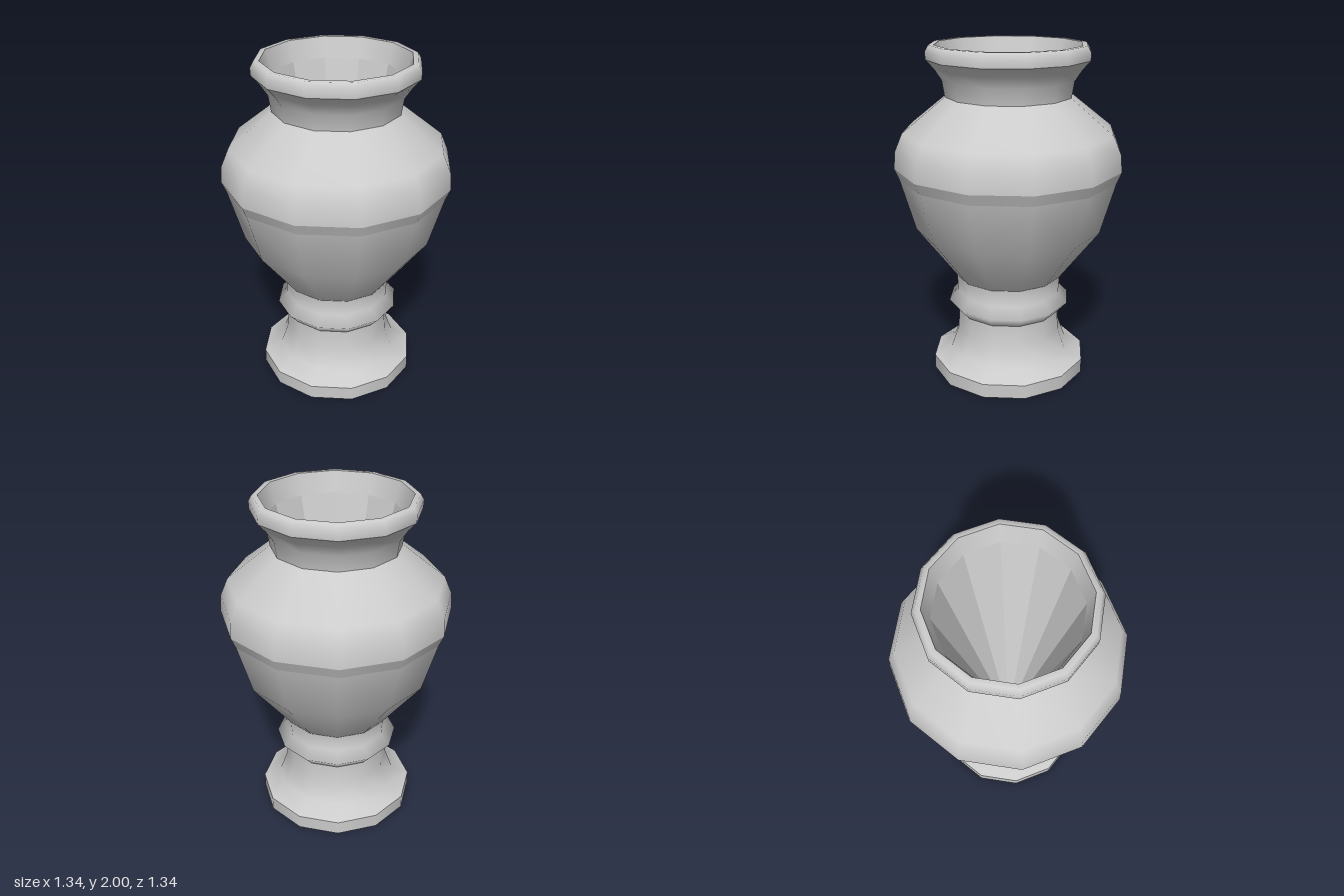
import * as THREE from 'three';

const SIDES = 12;

export function createModel() {
  const vase = new THREE.Group();
  vase.name = 'vase';

  const smooth = new THREE.MeshStandardMaterial({ color: 0xcccccc, side: THREE.DoubleSide });
  const faceted = new THREE.MeshStandardMaterial({ color: 0xcccccc, side: THREE.DoubleSide, flatShading: true });

  // Turns a profile of [radius, height] pairs around the y axis
  function turn(name, profile, material = smooth) {
    const points = profile.map(([r, y]) => new THREE.Vector2(r, y));
    const mesh = new THREE.Mesh(new THREE.LatheGeometry(points, SIDES), material);
    mesh.name = name;
    vase.add(mesh);
  }

  // Outer wall, one section between each pair of sharp edges; the foot is open below
  turn('footBand', [[0.473, 0], [0.473, 0.085]]);
  turn('foot', [[0.473, 0.085], [0.365, 0.14], [0.318, 0.27], [0.313, 0.39]]);
  turn('collar', [[0.313, 0.39], [0.372, 0.455], [0.315, 0.515], [0.322, 0.62]]);
  turn('lowerBody', [[0.322, 0.62], [0.557, 0.93], [0.645, 1.24]]);
  turn('bodyBand', [[0.645, 1.24], [0.672, 1.305]]);
  turn('shoulder', [[0.672, 1.305], [0.665, 1.405], [0.62, 1.51], [0.37, 1.71]]);
  turn('neck', [[0.37, 1.71], [0.385, 1.805], [0.428, 1.87], [0.473, 1.92]]);

  // Rounded lip turning over into the mouth
  turn('lip', [[0.473, 1.92], [0.475, 1.965], [0.455, 2], [0.425, 2]]);
  turn('mouth', [[0.425, 2], [0.39, 1.88]]);

  // Faceted hollow running down to a point inside the foot
  turn('hollow', [[0.39, 1.88], [0, 0.16]], faceted);

  return vase;
}
